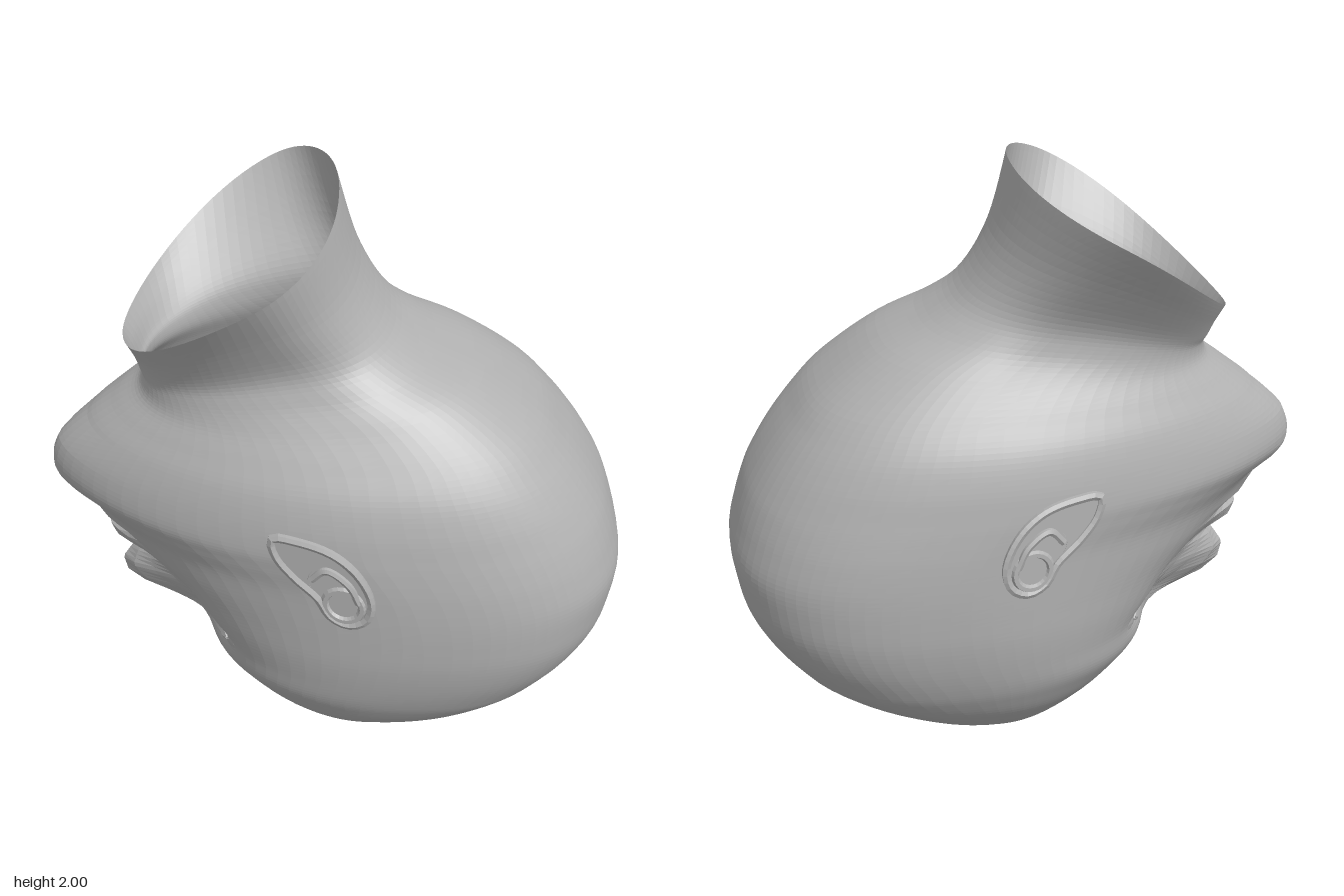
import * as THREE from 'three';

const skin = new THREE.MeshStandardMaterial({ color: 0xb2b2b2, side: THREE.DoubleSide, flatShading: true });
skin.name = 'plain grey';

// Level sections of the skull and face, crown first: y, front x, back x, half width, front sharpness
const SKULL = [
  [0, 0.03, 0.04, 0.01, 1],
  [0.007, -0.04, 0.12, 0.1, 1],
  [0.033, -0.1, 0.23, 0.205, 1],
  [0.1, -0.21, 0.4, 0.323, 1],
  [0.2, -0.33, 0.6, 0.432, 0.97],
  [0.29, -0.41, 0.74, 0.494, 0.93],
  [0.36, -0.455, 0.81, 0.527, 0.9],
  [0.45, -0.475, 0.88, 0.555, 0.9],
  [0.55, -0.54, 0.935, 0.575, 0.95],
  [0.65, -0.62, 0.96, 0.584, 1.02],
  [0.75, -0.72, 0.972, 0.588, 1.1],
  [0.85, -0.8, 0.95, 0.587, 1.15],
  [0.93, -0.88, 0.925, 0.582, 1.15],
  [1.0, -0.94, 0.895, 0.575, 1.15],
  [1.1, -0.925, 0.835, 0.56, 1.15],
  [1.2, -0.85, 0.76, 0.53, 1.1],
];
// Tilted sections of the neck: front x, front y, back x, back y, half width, front sharpness
const NECK = [
  [-0.75, 1.28, 0.66, 1.31, 0.475, 1],
  [-0.67, 1.34, 0.48, 1.44, 0.41, 0.9],
  [-0.65, 1.39, 0.29, 1.53, 0.367, 0.85],
  [-0.66, 1.42, 0.17, 1.62, 0.362, 0.85],
  [-0.68, 1.47, 0.07, 1.78, 0.432, 0.95],
  [-0.71, 1.52, 0.0, 2.0, 0.54, 1.08],
];
const SECTIONS = SKULL.map(([y, front, back, w, sharp]) => [front, y, back, y, w, sharp]).concat(NECK);
const NECK_START = SKULL.length + 1;

// Nose, lips and chin along the middle of the face: y, push forward, spread in z
const FEATURES = [
  [0.33, 0, 0.08], [0.4, 0.06, 0.07], [0.46, 0.21, 0.07], [0.515, 0.24, 0.09],
  [0.575, 0.21, 0.11], [0.63, 0.13, 0.11], [0.66, 0.075, 0.1], [0.7, 0.12, 0.11],
  [0.75, 0.085, 0.13], [0.77, 0.025, 0.14], [0.8, 0.07, 0.13], [0.86, 0.06, 0.12],
  [0.9, 0.03, 0.13], [0.94, 0.065, 0.15], [1.0, 0.04, 0.16], [1.1, 0.03, 0.17], [1.2, 0, 0.17],
];

function sectionAt(s) {
  const n = SECTIONS.length - 1;
  const i = Math.min(Math.floor(s), n - 1);
  const t = s - i;
  const [a, b, c, d] = [i - 1, i, i + 1, i + 2].map((k) => SECTIONS[THREE.MathUtils.clamp(k, 0, n)]);
  return b.map((p, k) => p + 0.5 * t * (c[k] - a[k]
    + t * (2 * a[k] - 5 * p + 4 * c[k] - d[k] + t * (3 * (p - c[k]) + d[k] - a[k]))));
}

function featurePush(y, z) {
  const i = FEATURES.findIndex((f) => f[0] > y);
  if (i <= 0) return 0;
  const [a, b] = [FEATURES[i - 1], FEATURES[i]];
  const t = (y - a[0]) / (b[0] - a[0]);
  const spread = THREE.MathUtils.lerp(a[2], b[2], t);
  return THREE.MathUtils.lerp(a[1], b[1], t) * Math.exp(-((z / spread) ** 2));
}

const bump = (y, z, cy, cz, sy, sz) => Math.exp(-(((y - cy) / sy) ** 2) - ((Math.abs(z) - cz) / sz) ** 2);

// Hollow head and open neck, lofted through the sections
function headGeometry() {
  const around = 80, steps = 6;
  const rows = (SECTIONS.length - 1) * steps;
  const positions = [], index = [];
  for (let i = 0; i <= rows; i++) {
    const s = i / steps;
    const [fx, fy, bx, by, w, sharp] = sectionAt(s);
    const flare = THREE.MathUtils.smoothstep(s, NECK_START, NECK_START + 4);
    // Widest point moves back from the crown to the jaw, and again to the rim
    const widest = 0.5 + 0.1 * THREE.MathUtils.smoothstep(fy, 0, 0.9) + 0.04 * flare;
    for (let j = 0; j < around; j++) {
      const a = (j / around) * Math.PI * 2;
      const cos = Math.cos(a), sin = Math.sin(a);
      const front = cos > 0;
      const e = front ? sharp : 0.76 + 0.16 * flare;
      const along = Math.abs(cos) ** e;
      const u = front ? widest - widest * along : widest + (1 - widest) * along;
      let z = Math.sign(sin) * w * Math.abs(sin) ** e;
      let x = THREE.MathUtils.lerp(fx, bx, u);
      const y = THREE.MathUtils.lerp(fy, by, u) + 0.05 * flare * Math.sin(Math.PI * u);
      if (front) {
        x -= featurePush(y, z);
        x += 0.035 * bump(y, z, 0.47, 0.225, 0.05, 0.08); // eye socket
        x += 0.03 * bump(y, z, 0.58, 0.2, 0.06, 0.07); // hollow beside the nose
      }
      z -= 0.03 * flare;
      positions.push(x, y, z);
      if (i < rows) {
        const k = (j + 1) % around, r = i * around, q = r + around;
        index.push(r + j, r + k, q + k, r + j, q + k, q + j);
      }
    }
  }
  const g = new THREE.BufferGeometry();
  g.setAttribute('position', new THREE.Float32BufferAttribute(positions, 3));
  g.setIndex(index);
  g.computeVertexNormals();
  return g;
}

function add(parent, name, geometry) {
  const m = new THREE.Mesh(geometry, skin);
  m.name = name;
  parent.add(m);
  return m;
}

const tube = (pts, radius, closed = false) => new THREE.TubeGeometry(
  new THREE.CatmullRomCurve3(pts.map(([x, y, z]) => new THREE.Vector3(x, y, z)), closed), 40, radius, 6, closed);

// Tilt ear parts so the back edge stands away from the head
function tilt(g) {
  const p = g.attributes.position;
  for (let i = 0; i < p.count; i++) p.setZ(i, p.getZ(i) + 0.594 + 0.27 * p.getX(i));
  g.computeVertexNormals();
  return g;
}

function createEar() {
  const ear = new THREE.Group();
  const outline = [[-0.195, 1.085], [-0.11, 1.09], [0, 1.065], [0.08, 1.0], [0.125, 0.9], [0.108, 0.825],
    [0.05, 0.792], [-0.01, 0.815], [-0.05, 0.88], [-0.13, 0.95], [-0.185, 1.02]];
  const shape = new THREE.Shape();
  shape.setFromPoints(new THREE.CatmullRomCurve3(outline.map(([x, y]) => new THREE.Vector3(x, y, 0)), true)
    .getPoints(44).slice(0, -1).map((p) => new THREE.Vector2(p.x, p.y)));
  add(ear, 'earPlate', tilt(new THREE.ExtrudeGeometry(shape, { depth: 0.01, bevelEnabled: false })));
  add(ear, 'earRim', tilt(tube(outline.map(([x, y]) => [x, y, 0.01]), 0.015, true)));
  add(ear, 'earInnerFold', tilt(tube([[-0.07, 0.95, 0.008], [-0.02, 1.0, 0.014], [0.05, 0.96, 0.016],
    [0.085, 0.89, 0.012]], 0.013)));
  add(ear, 'earBowl', tilt(new THREE.TorusGeometry(0.06, 0.013, 6, 24).translate(0.035, 0.87, 0.01)));
  // Root joining the ear to the head
  add(ear, 'earRoot', new THREE.CylinderGeometry(0.05, 0.06, 0.05, 16, 1, true)
    .rotateX(Math.PI / 2).translate(-0.03, 0.95, 0.562));
  return ear;
}

export function createModel() {
  const model = new THREE.Group();
  model.name = 'upturnedHead';
  add(model, 'headAndNeck', headGeometry());
  for (const side of [1, -1]) {
    const label = side > 0 ? 'left' : 'right';
    const eye = add(model, label + 'Eyeball', new THREE.SphereGeometry(0.135, 32, 20));
    eye.position.set(-0.26, 0.47, side * 0.235);

    // Eyelid folds hugging the eyeball
    for (const [lid, lift] of [['UpperLid', -0.03], ['LowerLid', 0.03]]) {
      const pts = [-1, -0.5, 0, 0.5, 1].map((k) => {
        const z = k * 0.075, y = lift * (1 - k * k);
        return [-0.26 - Math.sqrt(0.137 ** 2 - z * z - y * y), 0.47 + y, side * (0.235 + z)];
      });
      add(model, label + lid, tube(pts, 0.01));
    }

    const ear = createEar();
    ear.name = label + 'Ear';
    ear.scale.z = side;
    ear.position.y = side > 0 ? 0 : -0.03;
    model.add(ear);
  }
  return model;
}
